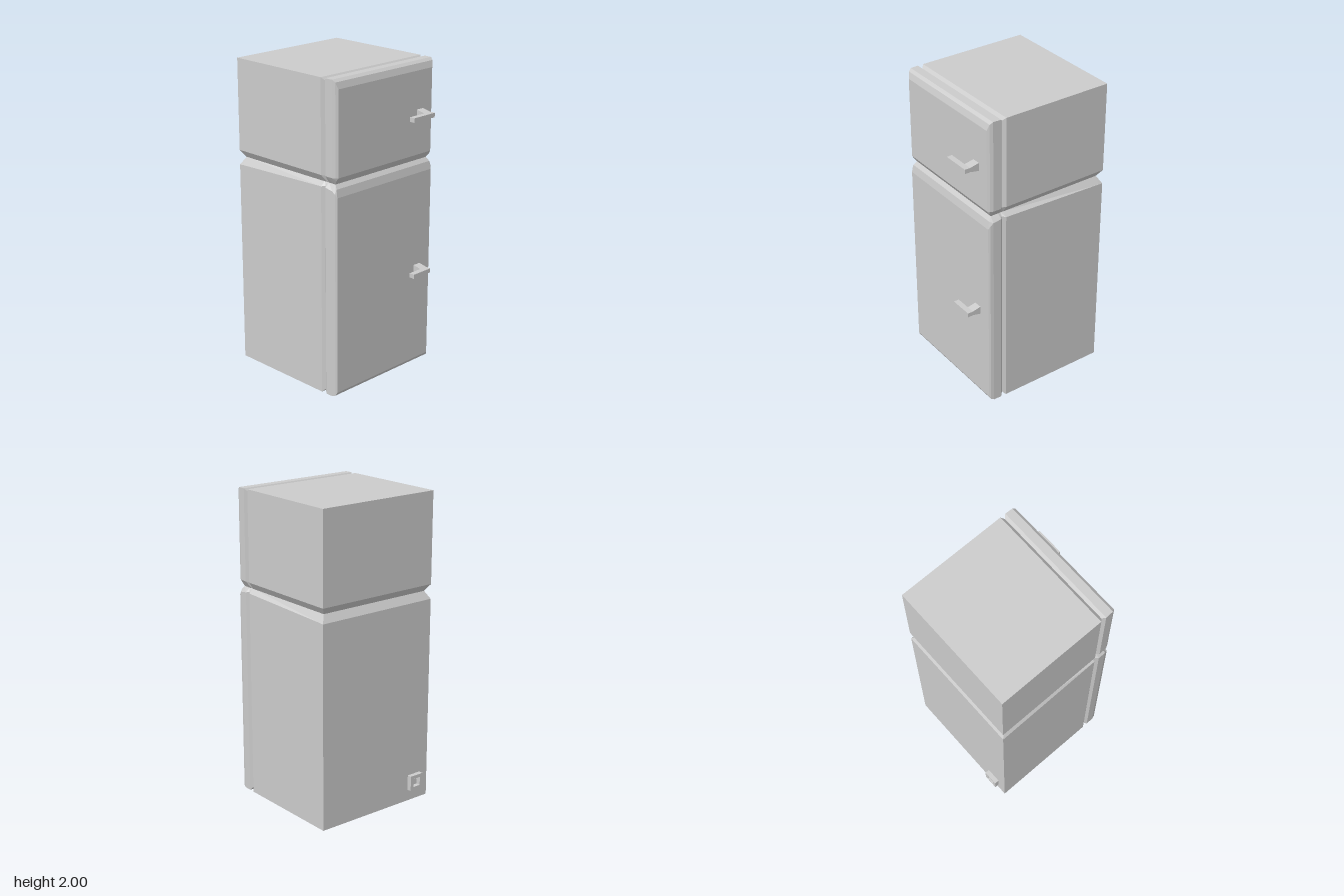
import * as THREE from 'three';

const material = new THREE.MeshStandardMaterial({ color: 0xcccccc, flatShading: true });

// Closed loft through cross-sections along x; each section is a loop of [x, y, z]
function loft(sections) {
  const pos = [];
  const tri = (a, b, c) => pos.push(...a, ...b, ...c);
  const n = sections[0].length;
  for (let s = 0; s < sections.length - 1; s++) {
    const a = sections[s], b = sections[s + 1];
    for (let i = 0; i < n; i++) {
      const j = (i + 1) % n;
      tri(a[i], a[j], b[j]);
      tri(a[i], b[j], b[i]);
    }
  }
  const first = sections[0], last = sections[sections.length - 1];
  for (let i = 1; i < n - 1; i++) {
    tri(first[0], first[i + 1], first[i]);
    tri(last[0], last[i], last[i + 1]);
  }
  const geometry = new THREE.BufferGeometry();
  geometry.setAttribute('position', new THREE.Float32BufferAttribute(pos, 3));
  geometry.computeVertexNormals();
  return geometry;
}

// Cabinet section: outer edge, straight sides to the shoulder, then tapering to the waist
function cabinetSection([x, hz, outer, shoulder, waist, waistZ]) {
  const loop = [
    [x, outer, -hz], [x, outer, hz], [x, shoulder, hz],
    [x, waist, waistZ], [x, waist, -waistZ], [x, shoulder, -hz],
  ];
  return outer > waist ? loop : loop.reverse();
}

const rect = (x, y0, y1, z0, z1) => [[x, y1, z0], [x, y1, z1], [x, y0, z1], [x, y0, z0]];

function add(group, name, geometry) {
  const mesh = new THREE.Mesh(geometry, material);
  mesh.name = name;
  group.add(mesh);
  return mesh;
}

// L-shaped handle: flared post from the door and a bar toward +z
function makeHandle(name, y, reach, barEnd) {
  const handle = new THREE.Group();
  handle.name = name;
  const back = -0.325, front = -0.27, inner = reach - 0.036;
  add(handle, 'post', loft([
    rect(0.385, y - 0.027, y + 0.027, back, front),
    rect(inner, y - 0.014, y + 0.014, back, front),
  ]));
  const bar = add(handle, 'bar', new THREE.BoxGeometry(0.036, 0.028, barEnd - back));
  bar.position.set(reach - 0.018, y, (barEnd + back) / 2);
  return handle;
}

export function createModel() {
  const model = new THREE.Group();
  model.name = 'refrigerator';

  // Columns: x, half depth, outer y, shoulder y, waist y, waist half depth
  const upper = [
    [-0.46, 0.427, 2, 1.415, 1.415, 0.427],
    [-0.43, 0.427, 2, 1.415, 1.37, 0.397],
    [0.27, 0.427, 2, 1.415, 1.37, 0.397],
    [0.29, 0.408, 1.98, 1.41, 1.37, 0.395],
    [0.307, 0.427, 2, 1.415, 1.37, 0.397],
    [0.36, 0.425, 2, 1.415, 1.37, 0.397],
    [0.378, 0.416, 1.985, 1.415, 1.397, 0.407],
    [0.39, 0.403, 1.945, 1.415, 1.415, 0.403],
  ];
  const lower = [
    [-0.46, 0.427, 0, 1.32, 1.32, 0.427],
    [-0.43, 0.427, 0, 1.322, 1.37, 0.397],
    [0.27, 0.427, 0, 1.345, 1.37, 0.397],
    [0.29, 0.412, 0.022, 1.35, 1.37, 0.395],
    [0.307, 0.427, 0, 1.345, 1.37, 0.397],
    [0.36, 0.425, 0, 1.335, 1.37, 0.397],
    [0.38, 0.42, 0.01, 1.315, 1.345, 0.408],
    [0.39, 0.412, 0.03, 1.295, 1.295, 0.412],
  ];
  add(model, 'freezerCompartment', loft(upper.map(cabinetSection)));
  add(model, 'fridgeCompartment', loft(lower.map(cabinetSection)));

  model.add(makeHandle('freezerHandle', 1.677, 0.487, -0.14));
  model.add(makeHandle('fridgeHandle', 0.66, 0.482, -0.17));

  // Power box on the back: raised frame around a recessed plate
  const powerBox = new THREE.Group();
  powerBox.name = 'powerBox';
  const square = (h) => [[-h, -h], [h, -h], [h, h], [-h, h]].map(([u, v]) => new THREE.Vector2(u, v));
  const outline = new THREE.Shape(square(0.05));
  outline.holes.push(new THREE.Path(square(0.028)));
  const frame = add(powerBox, 'frame', new THREE.ExtrudeGeometry(outline, { depth: 0.03, bevelEnabled: false }));
  frame.rotation.y = -Math.PI / 2;
  const plate = add(powerBox, 'plate', new THREE.BoxGeometry(0.014, 0.034, 0.026));
  plate.position.x = -0.007;
  powerBox.position.set(-0.46, 0.125, 0.315);
  model.add(powerBox);

  return model;
}
